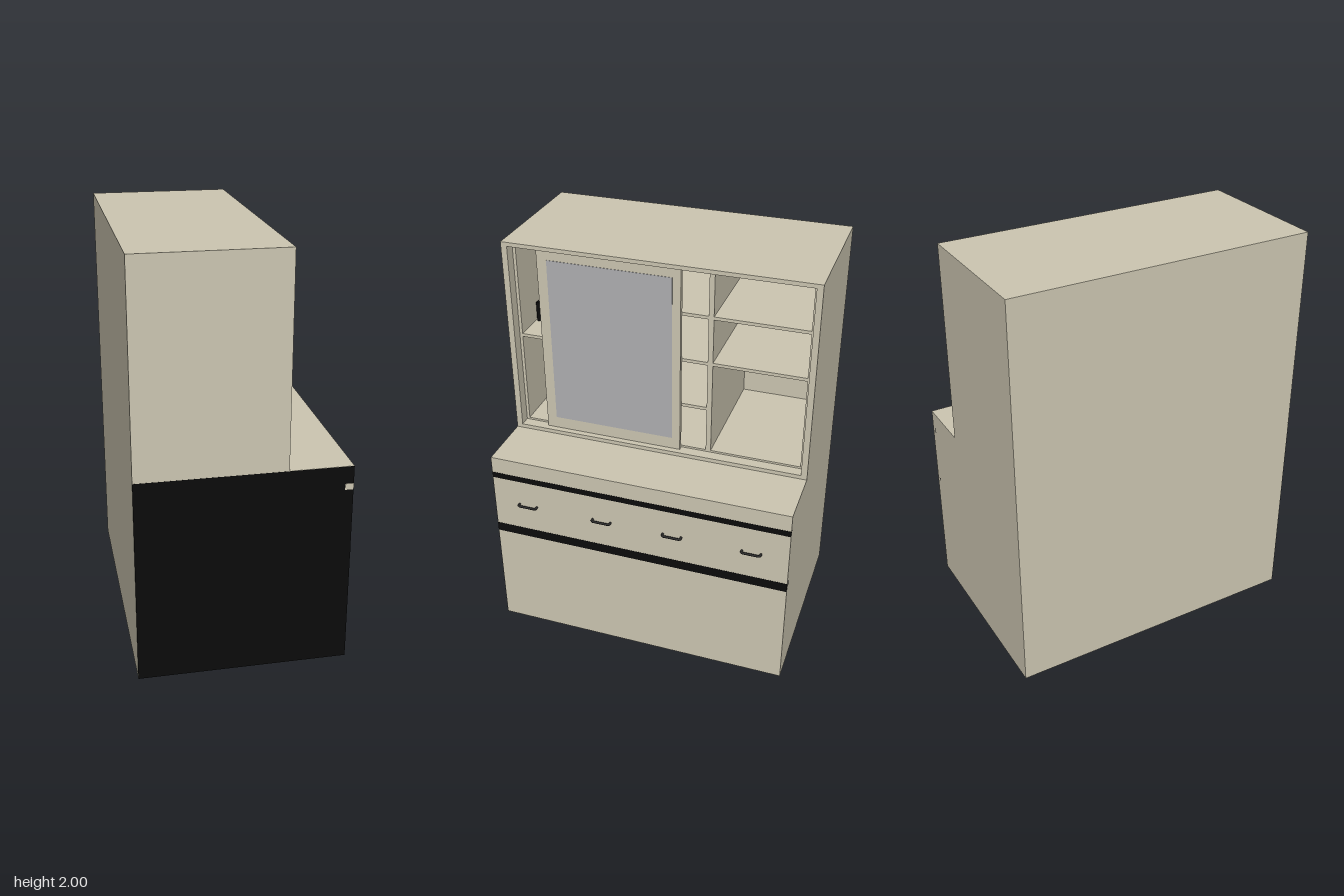
import * as THREE from 'three';

export function createModel() {
  const root = new THREE.Group();
  const mat = (color) => new THREE.MeshStandardMaterial({ color });
  const cream = mat(0xcdc7b2);
  const black = mat(0x0b0b0b);
  const mirrorGrey = mat(0xb0b0b2);
  const steel = mat(0x2a2a2a);

  // Box given by its limits on each axis
  function box(name, [x0, x1], [y0, y1], [z0, z1], material = cream, parent = root) {
    const mesh = new THREE.Mesh(new THREE.BoxGeometry(x1 - x0, y1 - y0, z1 - z0), material);
    mesh.position.set((x0 + x1) / 2, (y0 + y1) / 2, (z0 + z1) / 2);
    mesh.name = name;
    parent.add(mesh);
    return mesh;
  }

  const BACK = -0.515, BASE = 0.485, TOP = 0.185, HALF = 0.75;

  // Lower cabinet with its dark end face and the two dark bands
  box('baseCabinet', [BACK, BASE], [0, 1], [-HALF, HALF]);
  box('darkEndPanel', [BACK, BASE], [0, 0.999], [HALF, HALF + 0.001], black);
  box('bandEnd', [0.445, BASE], [0.885, 0.915], [HALF, HALF + 0.002]);
  box('upperBand', [0.45, BASE + 0.001], [0.885, 0.915], [-HALF, HALF], black);
  box('lowerBand', [0.45, BASE + 0.001], [0.556, 0.604], [-HALF, HALF], black);

  // Drawer handles
  for (const z of [-0.57, -0.18, 0.18, 0.57]) {
    const path = new THREE.CurvePath();
    const p = (x, dz) => new THREE.Vector3(x, 0.75, z + dz);
    const pts = [p(0.48, -0.046), p(0.498, -0.046), p(0.504, -0.04),
      p(0.504, 0.04), p(0.498, 0.046), p(0.48, 0.046)];
    for (let i = 0; i < pts.length - 1; i++) path.add(new THREE.LineCurve3(pts[i], pts[i + 1]));
    const handle = new THREE.Mesh(new THREE.TubeGeometry(path, 48, 0.006, 8), steel);
    handle.name = 'drawerHandle';
    root.add(handle);
  }

  // Open hutch carcass
  const hutch = new THREE.Group();
  hutch.name = 'hutch';
  root.add(hutch);
  const add = (name, x, y, z, m = cream) => box(name, x, y, z, m, hutch);
  const lip = 0.03;
  add('hutchBack', [BACK, BACK + 0.02], [1, 2], [-HALF, HALF]);
  add('hutchFloor', [BACK + 0.02, TOP], [1, 1.02], [-HALF, HALF]);
  add('hutchRoof', [BACK + 0.02, TOP], [1.98, 2], [-HALF, HALF]);
  for (const s of [-1, 1]) {
    const z = [s * HALF, s * (HALF - lip)].sort((a, b) => a - b);
    add('hutchSide', [BACK + 0.02, TOP], [1.02, 1.98], z);
  }

  // Inset shelving, set back from the carcass edge
  const depth = [BACK + 0.02, 0.13];
  add('insetFloor', depth, [1.02, 1.03], [-0.72, 0.72]);
  add('insetRoof', depth, [1.973, 1.98], [-0.72, 0.72]);
  const uprights = [[0.705, 0.72], [0.205, 0.22], [-0.26, -0.235], [-0.72, -0.705]];
  for (const z of uprights) add('upright', depth, [1.03, 1.973], z);

  const shelves = [
    { z: [0.22, 0.705], heights: [1.502] },
    { z: [-0.235, 0.205], heights: [1.262, 1.505, 1.742] },
    { z: [-0.705, -0.26], heights: [1.505, 1.742] },
  ];
  for (const { z, heights } of shelves) {
    for (const y of heights) add('shelf', depth, [y - 0.008, y + 0.008], z);
  }

  // Dark units above and below the shelf on the model's left
  add('upperDarkUnit', [-0.3, -0.02], [1.51, 1.61], [0.25, 0.695], black);
  add('lowerDarkUnit', [-0.3, -0.02], [1.415, 1.494], [0.25, 0.695], black);

  // Sliding door with mirror
  add('slidingDoor', [0.132, 0.155], [1.02, 1.98], [-0.11, 0.59]);
  add('mirror', [0.15, 0.157], [1.08, 1.925], [-0.07, 0.54], mirrorGrey);

  return root;
}
